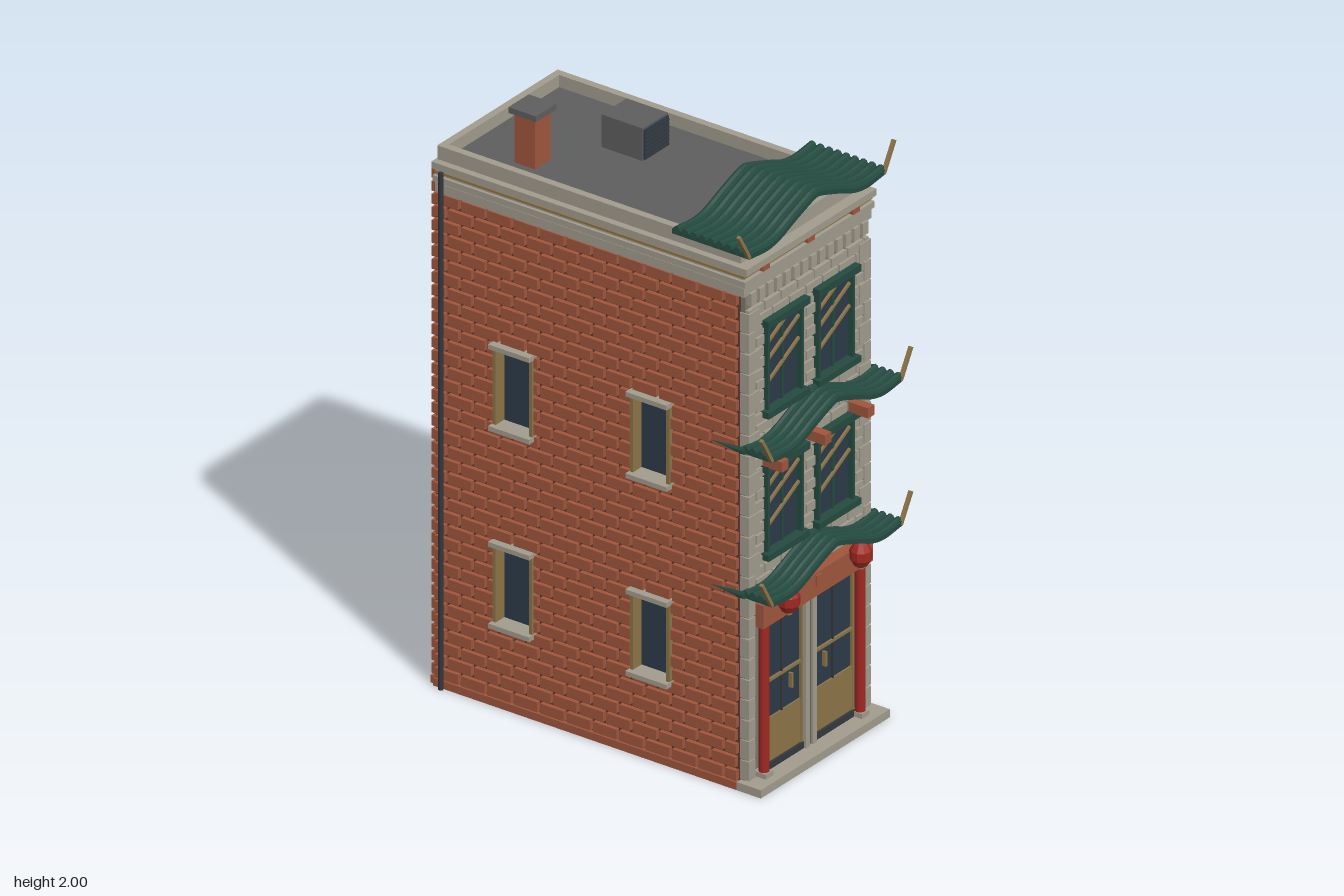
import * as THREE from 'three';
import { mergeGeometries } from 'three/addons/utils/BufferGeometryUtils.js';

const mat = (name, color) => {
  const m = new THREE.MeshStandardMaterial({ color });
  m.name = name;
  return m;
};
const brick = mat('brick', 0xa0563c), mortar = mat('dark brick mortar', 0x5f3a2e);
const stone = mat('stone', 0xa29c8d), darkStone = mat('stone joint', 0x7d786c);
const green = mat('roof green', 0x254b40), red = mat('red', 0xa02822), tan = mat('tan wood', 0x8c7448);
const glass = mat('window glass', 0x2c3b4a), grey = mat('roof grey', 0x5e5e5e), metal = mat('dark metal', 0x34383c);

// Geometry of a box given by its limits
function slab(x0, x1, y0, y1, z0, z1) {
  return new THREE.BoxGeometry(x1 - x0, y1 - y0, z1 - z0)
    .translate((x0 + x1) / 2, (y0 + y1) / 2, (z0 + z1) / 2);
}

function add(parent, name, material, ...geometries) {
  const mesh = new THREE.Mesh(geometries.length > 1 ? mergeGeometries(geometries) : geometries[0], material);
  mesh.name = name;
  parent.add(mesh);
  return mesh;
}

// Running-bond rectangles [u0, u1, v0, v1], cut back around rectangular holes
function bond(u0, u1, v0, v1, holes, length, rowHeight, gap) {
  const out = [], rows = Math.round((v1 - v0) / rowHeight), h = (v1 - v0) / rows;
  for (let r = 0; r < rows; r++) {
    const b = v0 + r * h + gap / 2, t = v0 + (r + 1) * h - gap / 2;
    for (let u = u0 - (r % 2) * length / 2; u < u1; u += length) {
      let parts = [[Math.max(u, u0) + gap / 2, Math.min(u + length, u1) - gap / 2]];
      for (const [a, c, d, e] of holes) {
        if ((b + t) / 2 < d || (b + t) / 2 > e) continue;
        parts = parts.flatMap(([p, q]) => (q < a || p > c) ? [[p, q]] : [[p, a], [c, q]]);
      }
      for (const [p, q] of parts) if (q - p > 0.008) out.push([p, q, b, t]);
    }
  }
  return out;
}

// Side wall panel with window openings, facing +x or -x
function wallPanel(z0, z1, y1, holes, s) {
  const rect = (C, a, b, c, d) => new C([[a, c], [b, c], [b, d], [a, d]].map(p => new THREE.Vector2(...p)));
  const shape = rect(THREE.Shape, -z1, -z0, 0.02, y1);
  shape.holes = holes.map(([a, b, c, d]) => rect(THREE.Path, -b, -a, c, d));
  return new THREE.ExtrudeGeometry(shape, { depth: 0.03, bevelEnabled: false })
    .rotateY(Math.PI / 2).translate(s > 0 ? 0.285 : -0.315, 0, 0);
}

// Swept tile roof with upturned ends and horns
function tileRoof(name, w, y, z0, z1, ridges) {
  const g = new THREE.Group();
  g.name = name;
  const half = [[0, 0.077], [0.05, 0.074], [0.33, 0.04], [0.55, 0.01], [0.72, 0], [1, 0.009]];
  const profile = [...half.slice(1).reverse().map(([s, h]) => [-s * w, h]), ...half.map(([s, h]) => [s * w, h])];
  const points = profile.map(([x, h]) => new THREE.Vector3(x, y + h, 0));
  const line = new THREE.CatmullRomCurve3(points).getPoints(40);
  const outline = [...line.map(p => new THREE.Vector2(p.x, p.y + 0.006)),
    ...line.map(p => new THREE.Vector2(p.x, p.y - 0.01)).reverse()];
  const sheet = new THREE.ExtrudeGeometry(new THREE.Shape(outline), { depth: z1 - z0, bevelEnabled: false });
  add(g, 'roofSheet', green, sheet.translate(0, 0, z0));
  const pitch = (z1 - z0) / ridges, tubes = [];
  const section = new THREE.Shape().absarc(0, 0, pitch * 0.4, 0, Math.PI * 2);
  for (let i = 0; i < ridges; i++) {
    const extrudePath = new THREE.CatmullRomCurve3(
      points.map(p => new THREE.Vector3(p.x, p.y + 0.005, z0 + (i + 0.5) * pitch)));
    tubes.push(new THREE.ExtrudeGeometry(section, { steps: 32, curveSegments: 4, extrudePath }));
  }
  add(g, 'roofTiles', green, ...tubes);
  add(g, 'roofHorns', tan, ...[-1, 1].map(s => new THREE.BoxGeometry(0.011, 0.108, 0.012)
    .rotateZ(-s * 0.52).translate(s * (w + 0.021), y + 0.048, z1 - 0.005)));
  return g;
}

// Shop-front window with lintel, sill, mullion and slanted bars
function frontWindow(x, y0, y1) {
  const g = new THREE.Group(), w = 0.092, mid = (y0 + y1) / 2;
  g.name = 'frontWindow';
  add(g, 'windowGlass', glass, slab(x - w, x + w, y0, y1, 0.525, 0.534));
  add(g, 'windowFrame', green,
    slab(x - w, x - w + 0.01, y0, y1, 0.53, 0.555), slab(x + w - 0.01, x + w, y0, y1, 0.53, 0.555),
    slab(x - 0.004, x + 0.004, y0, y1, 0.53, 0.542));
  add(g, 'windowLintelAndSill', green,
    slab(x - w - 0.015, x + w + 0.015, y1 - 0.012, y1 + 0.012, 0.53, 0.568),
    slab(x - w - 0.015, x + w + 0.015, y0 - 0.008, y0 + 0.014, 0.53, 0.568));
  const slants = [[-0.035, 0.105, 0.095], [0, 0.065, 0.185], [0, -0.012, 0.185]];
  add(g, 'windowBars', tan, ...slants.map(([dx, dy, l]) => new THREE.BoxGeometry(l, 0.009, 0.008)
    .rotateZ(0.5).translate(x + dx, mid + dy, 0.543)));
  return g;
}

export function createModel() {
  const model = new THREE.Group();
  model.name = 'shophouse';

  // Core walls and brickwork
  add(model, 'foundation', stone, slab(-0.318, 0.318, 0, 0.025, -0.638, 0.52));
  add(model, 'wallCore', mortar, slab(-0.286, 0.286, 0.02, 1.78, -0.635, 0.515));
  const sideHoles = [];
  for (const z of [0.19, -0.33]) for (const y of [0.285, 0.965]) sideHoles.push([z - 0.075, z + 0.075, y, y + 0.285]);
  const backHoles = [0.285, 0.965].map(y => [-0.1, 0.1, y, y + 0.285]);
  const sideBricks = bond(-0.635, 0.518, 0.025, 1.705, sideHoles, 0.1, 0.045, 0.011);
  for (const s of [-1, 1]) {
    const out = (a, b, ...r) => s > 0 ? slab(a, b, ...r) : slab(-b, -a, ...r);
    add(model, 'sideWall', mortar, wallPanel(-0.635, 0.515, 1.78, sideHoles, s));
    add(model, 'sideBrickwork', brick, out(0.31, 0.33, 0, 0.026, -0.635, 0.518),
      ...sideBricks.map(([a, b, c, d]) => out(0.31, 0.33, c, d, a, b)));

    // Recessed side windows
    for (const [a, b, c, d] of sideHoles) {
      const g = new THREE.Group();
      g.name = 'sideWindow';
      add(g, 'sideGlass', glass, out(0.284, 0.292, c, d, a, b));
      add(g, 'sideJambs', tan, out(0.286, 0.336, c, d, a, a + 0.012), out(0.286, 0.336, c, d, b - 0.012, b));
      add(g, 'sideSillAndLintel', stone, out(0.286, 0.355, c - 0.006, c + 0.01, a - 0.003, b + 0.003),
        out(0.286, 0.355, d - 0.01, d + 0.006, a - 0.003, b + 0.003));
      model.add(g);
    }
  }
  add(model, 'backBrickwork', brick, slab(-0.318, 0.318, 0, 0.026, -0.653, -0.63),
    ...bond(-0.318, 0.318, 0.025, 1.775, backHoles, 0.1, 0.045, 0.011)
      .map(([a, b, c, d]) => slab(a, b, c, d, -0.653, -0.63)));

  // Back windows
  for (const [a, b, c, d] of backHoles) {
    add(model, 'backGlass', glass, slab(a, b, c, d, -0.641, -0.633));
    add(model, 'backFrame', metal, slab(a, a + 0.006, c, d, -0.65, -0.63), slab(b - 0.006, b, c, d, -0.65, -0.63),
      slab(a, b, c, c + 0.006, -0.65, -0.63), slab(a, b, d - 0.006, d, -0.65, -0.63));
  }

  // Stone front with quoins and dentils
  add(model, 'frontBacking', darkStone, slab(-0.308, 0.308, 0.02, 1.72, 0.51, 0.531));
  const frontHoles = [[-0.275, 0.275, 0, 0.63]];
  for (const x of [-0.13, 0.13]) for (const [y0, y1] of [[0.77, 1.075], [1.26, 1.575]]) {
    frontHoles.push([x - 0.095, x + 0.095, y0, y1]);
    model.add(frontWindow(x, y0, y1));
  }
  add(model, 'frontStonework', stone, ...bond(-0.31, 0.31, 0.03, 1.65, frontHoles, 0.085, 0.038, 0.007)
    .map(([a, b, c, d]) => slab(a, b, c, d, 0.525, 0.544)));
  const quoins = [], dentils = [];
  for (let i = 0; i < 23; i++) for (const s of [-1, 1]) {
    const w = i % 2 || i < 9 ? 0.032 : 0.055, y = 0.033 + i * 0.07;
    quoins.push(slab(s > 0 ? 0.312 - w : -0.312, s > 0 ? 0.312 : w - 0.312, y, y + 0.065, 0.515, 0.549));
  }
  for (let i = 0; i < 14; i++) {
    const x = -0.286 + i * 0.044;
    dentils.push(slab(x - 0.014, x + 0.014, 1.662, 1.705, 0.525, 0.549));
  }
  add(model, 'quoins', stone, ...quoins);
  add(model, 'dentils', stone, ...dentils);

  // Cornice bands, parapet and roof floor
  add(model, 'cornice', stone, slab(-0.326, 0.326, 1.7, 1.732, -0.63, 0.54),
    slab(-0.322, 0.322, 1.73, 1.782, -0.632, 0.536),
    slab(-0.332, 0.332, 1.737, 1.758, -0.635, 0.548), slab(-0.332, 0.332, 1.78, 1.803, -0.64, 0.555));
  add(model, 'corniceStrip', tan, slab(-0.327, 0.327, 1.766, 1.773, -0.632, 0.543));
  add(model, 'corniceBlocks', brick, ...[-0.23, 0, 0.23].map(x => slab(x - 0.017, x + 0.017, 1.762, 1.78, 0.53, 0.555)));
  add(model, 'parapet', stone, slab(-0.308, -0.282, 1.8, 1.85, -0.635, 0.515), slab(0.282, 0.308, 1.8, 1.85, -0.635, 0.515),
    slab(-0.283, 0.283, 1.8, 1.85, -0.635, -0.61), slab(-0.283, 0.283, 1.8, 1.85, 0.49, 0.515));
  add(model, 'roofFloor', grey, slab(-0.283, 0.283, 1.8, 1.808, -0.612, 0.492));

  // Chimney and rooftop cooling unit
  add(model, 'chimney', brick, slab(-0.194, -0.116, 1.8, 1.985, -0.427, -0.349));
  add(model, 'chimneyCap', grey, slab(-0.207, -0.103, 1.98, 2, -0.44, -0.336));
  add(model, 'coolingUnit', grey, slab(0.045, 0.175, 1.8, 1.92, -0.275, -0.118));
  add(model, 'coolingVent', glass, slab(0.049, 0.171, 1.812, 1.914, -0.12, -0.112));
  add(model, 'coolingGrille', metal, ...Array.from({ length: 7 }, (_, i) =>
    slab(0.05, 0.17, 1.815 + i * 0.014, 1.822 + i * 0.014, -0.115, -0.109)));

  // Tile roofs, rafters and return spikes around the corners
  model.add(tileRoof('topRoof', 0.35, 1.855, 0.285, 0.578, 9));
  add(model, 'topRafters', brick, ...[-0.2, 0, 0.2].map(x => slab(x - 0.018, x + 0.018, 1.808, 1.848, 0.29, 0.49)));
  for (const y of [0.675, 1.172]) {
    model.add(tileRoof('awning', 0.335, y, 0.535, 0.653, 4));
    for (const s of [-1, 1]) {
      const spike = add(model, 'awningReturn', green, new THREE.ConeGeometry(0.013, 0.13, 6).rotateX(-Math.PI / 2));
      spike.position.set(s * 0.335, y + 0.008, 0.485);
    }
  }
  add(model, 'awningRafters', brick, ...[-0.22, 0, 0.22].map(x => slab(x - 0.016, x + 0.016, 1.085, 1.12, 0.53, 0.618)));

  // Shop entrance
  add(model, 'plinth', stone, slab(-0.33, 0.33, 0, 0.028, 0.515, 0.607));
  add(model, 'entranceBeam', brick, slab(-0.28, 0.28, 0.552, 0.632, 0.525, 0.58));
  add(model, 'beamPlaque', brick, slab(-0.013, 0.013, 0.588, 0.625, 0.578, 0.586));
  add(model, 'centrePost', stone, slab(-0.028, -0.007, 0.028, 0.552, 0.525, 0.555), slab(0.007, 0.028, 0.028, 0.552, 0.525, 0.555));
  add(model, 'postGroove', metal, slab(-0.008, 0.008, 0.028, 0.552, 0.525, 0.545));
  const lanternProfile = [[0.012, -0.044], [0.024, -0.036], [0.036, -0.015], [0.036, 0.015], [0.024, 0.036], [0.012, 0.044]]
    .map(p => new THREE.Vector2(...p));
  for (const s of [-1, 1]) {
    const x = s * 0.131;
    const post = add(model, 'entranceColumn', red, new THREE.CylinderGeometry(0.017, 0.017, 0.515, 12));
    post.position.set(s * 0.246, 0.2955, 0.557);
    add(model, 'columnBase', stone, slab(s * 0.246 - 0.019, s * 0.246 + 0.019, 0.028, 0.045, 0.53, 0.578));
    add(model, 'doorGlass', glass, slab(x - 0.103, x + 0.103, 0.2, 0.552, 0.525, 0.534));
    const handle = x - s * 0.045;
    add(model, 'doorPanel', tan, slab(x - 0.103, x + 0.103, 0.05, 0.2, 0.525, 0.54),
      slab(x - 0.103, x + 0.103, 0.324, 0.334, 0.525, 0.542), slab(handle - 0.004, handle + 0.004, 0.26, 0.31, 0.53, 0.548),
      slab(x - 0.103, x - 0.095, 0.05, 0.552, 0.53, 0.543), slab(x + 0.095, x + 0.103, 0.05, 0.552, 0.53, 0.543));
    add(model, 'doorMullion', metal, slab(x - 0.003, x + 0.003, 0.2, 0.552, 0.53, 0.541));
    add(model, 'doorSill', metal, slab(x - 0.103, x + 0.103, 0.028, 0.05, 0.525, 0.548));

    // Ribbed lantern
    const lantern = new THREE.Group();
    lantern.name = 'lantern';
    const body = new THREE.LatheGeometry(lanternProfile, 10).toNonIndexed();
    body.computeVertexNormals();
    add(lantern, 'lanternBody', red, body);
    add(lantern, 'lanternCaps', tan, ...[-0.046, 0.046].map(y =>
      new THREE.CylinderGeometry(0.012, 0.012, 0.008, 10).translate(0, y, 0)));
    lantern.position.set(s * 0.185, 0.625, 0.605);
    model.add(lantern);

    // Downpipe
    const pipe = add(model, 'downpipe', metal, new THREE.CylinderGeometry(0.008, 0.008, 1.78, 8));
    pipe.position.set(s * 0.338, 0.89, -0.6);
  }
  return model;
}
